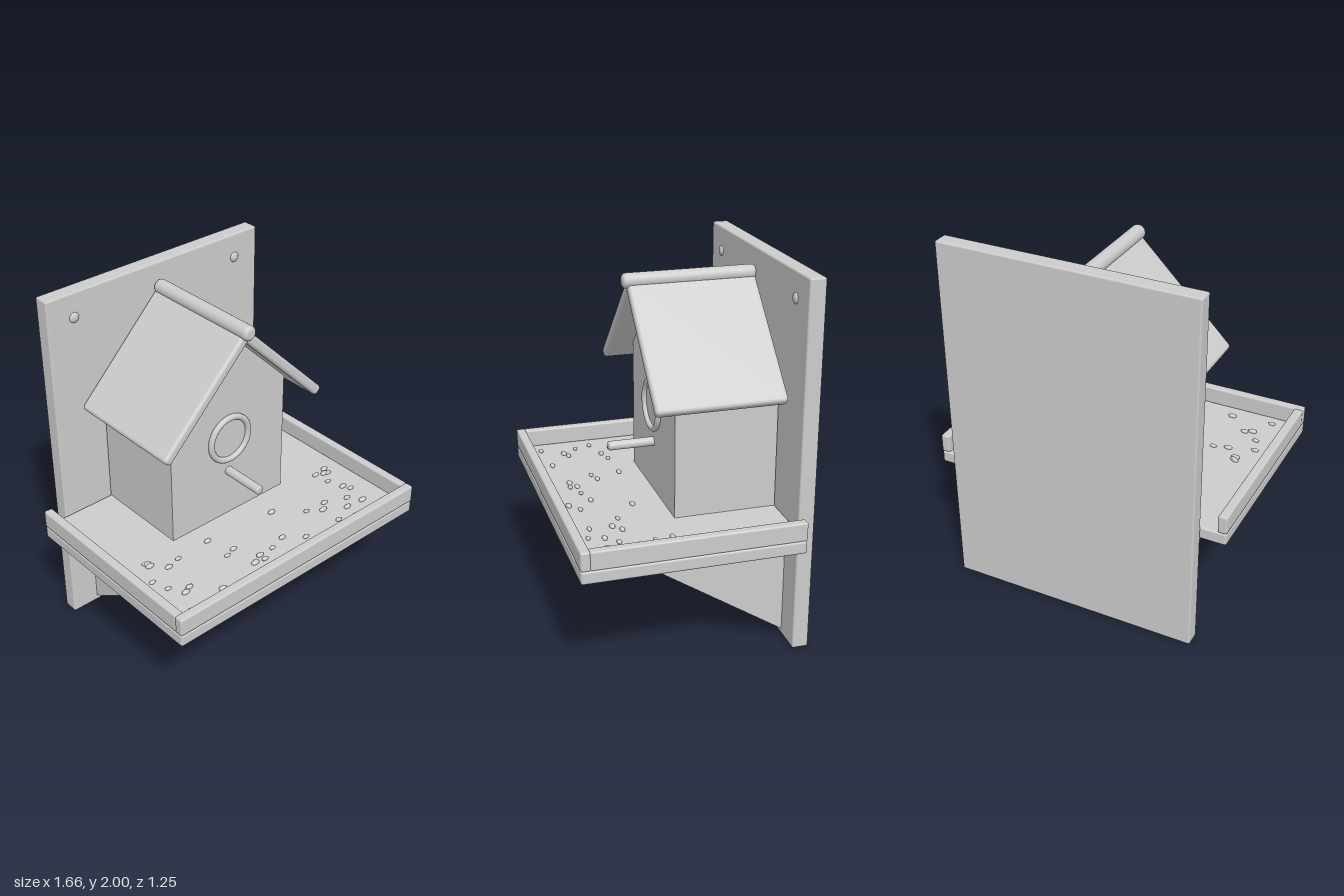
import * as THREE from 'three';
import { RoundedBoxGeometry } from 'three/addons/geometries/RoundedBoxGeometry.js';

const grey = new THREE.MeshStandardMaterial({ color: 0xcccccc });
grey.name = 'plain grey';

export function createModel() {
  const group = new THREE.Group();
  group.name = 'wallBirdFeeder';

  function add(name, geometry, x = 0, y = 0, z = 0) {
    const mesh = new THREE.Mesh(geometry, grey);
    mesh.name = name;
    mesh.position.set(x, y, z);
    group.add(mesh);
    return mesh;
  }

  // Rounded board given by its limits on each axis
  function board(name, x0, x1, y0, y1, z0, z1, r = 0.01) {
    const g = new RoundedBoxGeometry(x1 - x0, y1 - y0, z1 - z0, 3, r);
    return add(name, g, (x0 + x1) / 2, (y0 + y1) / 2, (z0 + z1) / 2);
  }

  // Round rod along z with softened ends
  function rod(name, r, z0, z1, y, soft) {
    const profile = [new THREE.Vector2(0, z0)];
    for (const end of [0, 1]) {
      for (let i = 0; i <= 5; i++) {
        const a = (end ? i : 5 - i) / 5 * Math.PI / 2;
        profile.push(new THREE.Vector2(r - soft + soft * Math.cos(a),
          end ? z1 - soft + soft * Math.sin(a) : z0 + soft - soft * Math.sin(a)));
      }
    }
    profile.push(new THREE.Vector2(0, z1));
    return add(name, new THREE.LatheGeometry(profile, 28).rotateX(Math.PI / 2), 0, y, 0);
  }

  function outline(points) {
    return new THREE.Shape(points.map(([x, y]) => new THREE.Vector2(x, y)));
  }

  // Back board and tray
  board('backBoard', -0.695, 0.695, 0, 2, -0.625, -0.537);
  board('trayFloor', -0.832, 0.832, 0.63, 0.702, -0.533, 0.625, 0.014);
  board('frontRail', -0.832, 0.832, 0.7, 0.802, 0.575, 0.625);

  // House body with gable
  const house = new THREE.ExtrudeGeometry(
    outline([[-0.393, 0.69], [0.393, 0.69], [0.393, 1.425], [0, 1.818], [-0.393, 1.425]]),
    { depth: 0.553, bevelEnabled: false });
  add('house', house, 0, 0, -0.528);

  // Paired parts: rails, roof panels, brackets, screws
  for (const s of [-1, 1]) {
    board('sideRail', s * 0.807 - 0.025, s * 0.807 + 0.025, 0.7, 0.802, -0.533, 0.578);

    const roof = add('roofPanel', new RoundedBoxGeometry(0.742, 0.057, 0.692, 4, 0.02),
      s * 0.2625, 1.5875, -0.18);
    roof.rotation.z = -s * Math.PI / 4;

    const bracket = new THREE.ExtrudeGeometry(
      outline([[0.537, 0.03], [0.537, 0.632], [-0.39, 0.632]]),
      { depth: 0.05, bevelEnabled: false });
    bracket.translate(0, 0, -0.025).rotateY(Math.PI / 2);
    add('bracket', bracket, s * 0.51, 0, 0);

    for (const [x, y] of [[0.535, 1.865], [0.3, 0.122]]) {
      add('screwHead', new THREE.SphereGeometry(0.028, 20, 12).scale(1, 1, 0.5), s * x, y, -0.537);
    }
  }

  // Ridge pole and perch
  rod('ridgePole', 0.04, -0.53, 0.19, 1.872, 0.022);
  rod('perch', 0.025, 0, 0.275, 0.98, 0.01);

  // Entrance ring with its filled centre
  add('entranceRing', new THREE.TorusGeometry(0.128, 0.017, 14, 56), 0, 1.19, 0.034);
  add('entranceDisc', new THREE.CylinderGeometry(0.125, 0.125, 0.008, 48).rotateX(Math.PI / 2), 0, 1.19, 0.026);

  // Seeds scattered on the tray, x and z in hundredths
  const seeds = [
    [-63, 8], [-62, 9], [-62, 11], [-69, 22], [-55, 18], [-66, 31], [-57, 37], [-61, 39],
    [-68, 51], [-45, 49], [-26, 31], [-20, 29], [-19, 45], [-13, 46], [-13, 42], [-4, 42],
    [6, 39], [10, 52], [16, 47], [17, 19], [32, 31], [45, 32], [40, 36], [40, 48],
    [52, 43], [50, 51], [58, 37], [63, 44], [66, 32], [64, 28], [61, 19], [60, 10],
    [65, 12], [67, 13], [68, 9], [-47, 16], [-26, 15],
  ];
  const seedShape = new THREE.SphereGeometry(1, 14, 10);
  seeds.forEach(([x, z], i) => {
    const size = 0.019 + 0.006 * ((i * 7) % 5) / 4;
    add('seed', seedShape, x / 100, 0.707, z / 100).scale.set(size, size * 0.5, size * 0.6);
  });

  return group;
}
